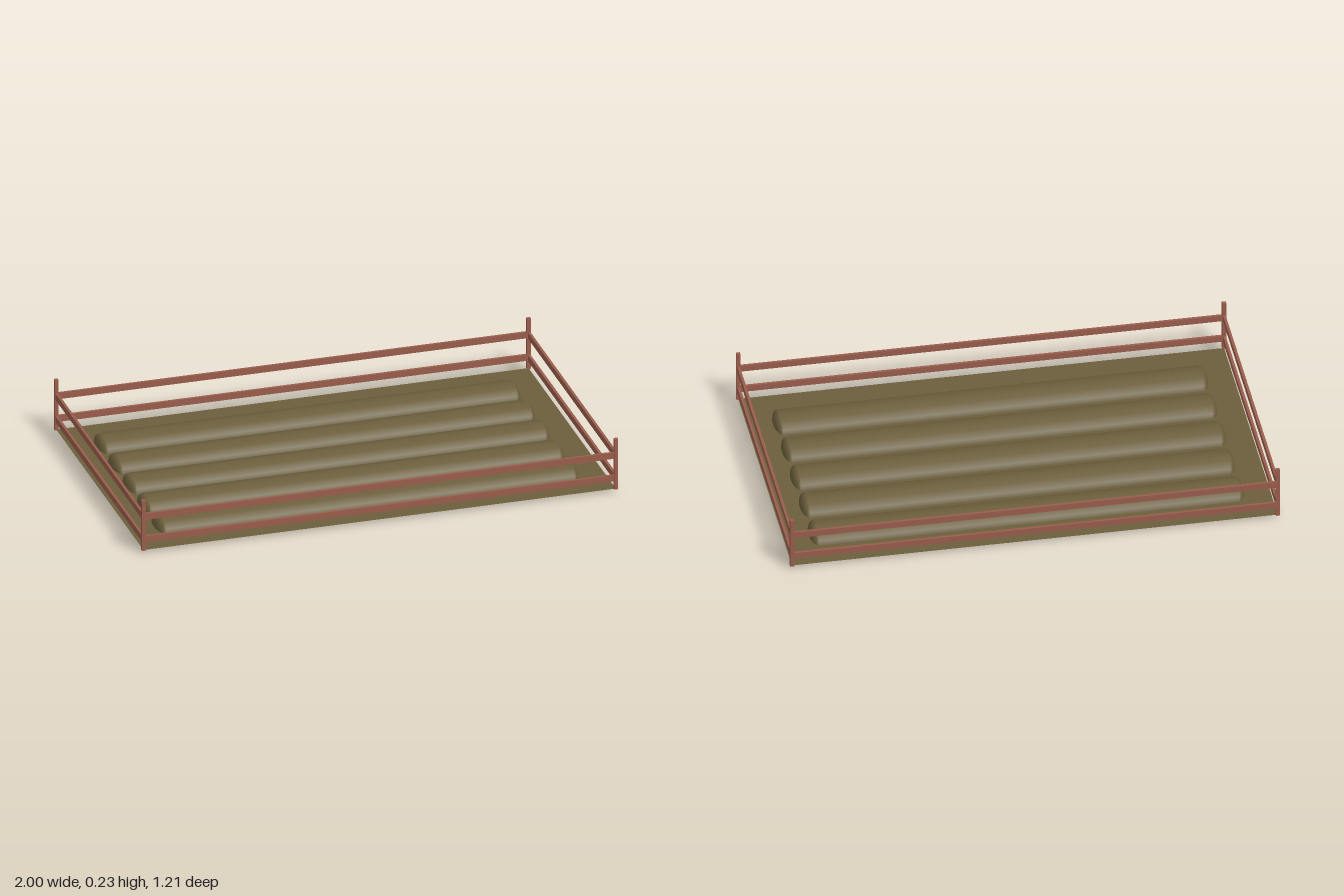
import * as THREE from 'three';

const W = 0.992, D = 0.597; // half extents of the bed at the fence line
const GROUND = 0.012;

export function createModel() {
  const group = new THREE.Group();
  const soil = new THREE.MeshStandardMaterial({ color: 0x6b5e3c });
  soil.name = 'soil';
  const soilSheet = soil;
  soilSheet.side = THREE.DoubleSide;
  const wood = new THREE.MeshStandardMaterial({ color: 0x995d4c });
  wood.name = 'redWood';

  const add = (name, geometry, material, x, y, z) => {
    const mesh = new THREE.Mesh(geometry, material);
    mesh.name = name;
    mesh.position.set(x, y, z);
    group.add(mesh);
  };

  // Flat sheet of earth
  add('ground', new THREE.PlaneGeometry(2 * W, 2 * D).rotateX(-Math.PI / 2), soilSheet, 0, GROUND, 0);

  // Ridge outline: long straight sides with short rounded ends
  const radius = 0.087, height = 0.058, straight = 0.858, cap = 0.03, steps = 5;
  const half = [];
  for (let i = 0; i <= steps; i++) {
    const a = (i / steps) * Math.PI / 2;
    half.push(new THREE.Vector2(radius * Math.sin(a), -straight - cap * Math.cos(a)));
  }
  const profile = [...half, ...half.map(p => new THREE.Vector2(p.x, -p.y)).reverse()];

  // Half of a turned form laid on its side and flattened
  const ridge = new THREE.LatheGeometry(profile, 6, 0, Math.PI);
  ridge.rotateZ(Math.PI / 2);
  ridge.scale(1, height / radius, 1);
  const outline = [
    ...profile.map(p => new THREE.Vector2(p.y, p.x)),
    ...profile.slice(1, -1).reverse().map(p => new THREE.Vector2(p.y, -p.x)),
  ];
  const base = new THREE.ShapeGeometry(new THREE.Shape(outline)).rotateX(Math.PI / 2);

  for (let i = -2; i <= 2; i++) {
    add('soilRidge', ridge, soil, 0, 0, i * 0.198);
    add('soilRidgeBase', base, soil, 0, 0, i * 0.198);
  }

  // Corner posts
  const post = new THREE.BoxGeometry(0.016, 0.222, 0.016);
  for (const sx of [-1, 1]) {
    for (const sz of [-1, 1]) add('cornerPost', post, wood, sx * W, GROUND + 0.111, sz * D);
  }

  // Two rails on every side
  const longRail = new THREE.BoxGeometry(2 * W, 0.027, 0.011);
  const shortRail = new THREE.BoxGeometry(0.011, 0.027, 2 * D);
  for (const y of [0.061, 0.161]) {
    for (const s of [-1, 1]) {
      add('longRail', longRail, wood, 0, y, s * D);
      add('shortRail', shortRail, wood, s * W, y, 0);
    }
  }
  return group;
}
